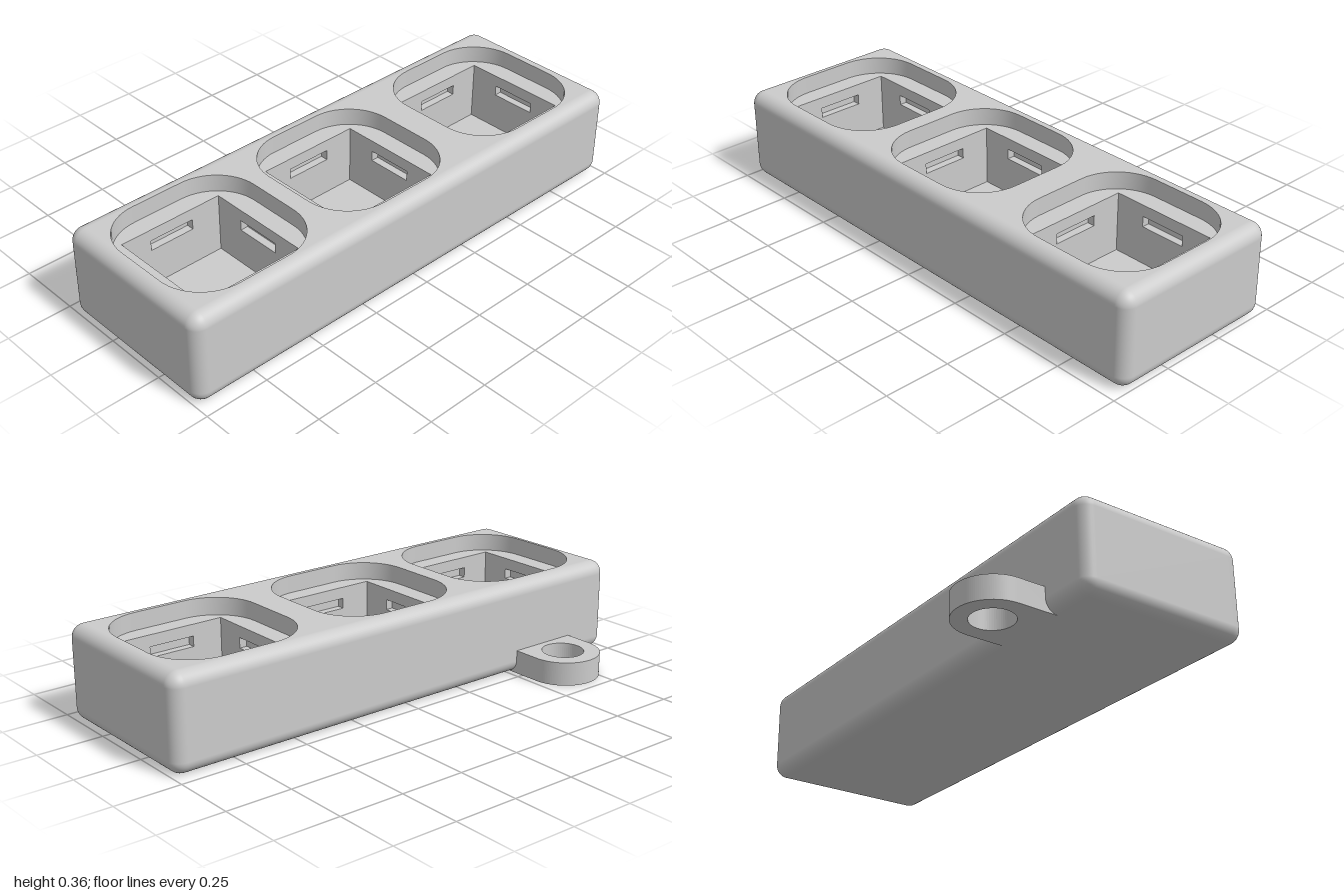
import * as THREE from 'three';
import { RoundedBoxGeometry } from 'three/addons/geometries/RoundedBoxGeometry.js';

const H = 0.357, DEPTH = 0.678, ZC = 0.122, FILLET = 0.05;
const RECESS_Y = 0.29, FLOOR_Y = 0.06, HOLE = 0.417;
const POCKETS = [-0.663, -0.027, 0.657];

const material = new THREE.MeshStandardMaterial({ color: 0xcccccc });

function addMesh(parent, name, geometry) {
  const mesh = new THREE.Mesh(geometry, material);
  mesh.name = name;
  parent.add(mesh);
  return mesh;
}

// Counter-clockwise loop of a rectangle with optional round corners
function rectLoop(w, h, r = 0, cx = 0, cy = 0) {
  const pts = [], steps = r ? 14 : 0;
  [[1, 1], [-1, 1], [-1, -1], [1, -1]].forEach(([sx, sy], k) => {
    for (let i = 0; i <= steps; i++) {
      const a = (k + (steps ? i / steps : 0)) * Math.PI / 2;
      pts.push(new THREE.Vector2(
        cx + sx * (w / 2 - r) + r * Math.cos(a),
        cy + sy * (h / 2 - r) + r * Math.sin(a)));
    }
  });
  return pts;
}

// Flat face in the XY plane, facing +z, with holes
function face(loop, holes = []) {
  const shape = new THREE.Shape(loop);
  shape.holes = holes.map((h) => new THREE.Path(h));
  return new THREE.ShapeGeometry(shape);
}

// Inward-facing wall that sinks from z = 0 to z = -depth around a loop
function sunkWall(loop, depth, smooth) {
  const n = loop.length, pos = [], index = [];
  loop.forEach((p, i) => {
    pos.push(p.x, p.y, 0, p.x, p.y, -depth);
    const a = 2 * i, b = 2 * ((i + 1) % n);
    index.push(a, b, b + 1, a, b + 1, a + 1);
  });
  let g = new THREE.BufferGeometry();
  g.setAttribute('position', new THREE.Float32BufferAttribute(pos, 3));
  g.setIndex(index);
  if (!smooth) g = g.toNonIndexed();
  g.computeVertexNormals();
  return g;
}

// Lay an XY face on the ground plane so that it faces up
const layFlat = (g, y) => g.rotateX(-Math.PI / 2).translate(0, y, 0);

// Rounded box without its flat top
function openBox() {
  const src = new RoundedBoxGeometry(2, H, DEPTH, 6, FILLET);
  const p = src.attributes.position, nrm = src.attributes.normal;
  const pos = [], normals = [];
  for (let t = 0; t < p.count; t += 3) {
    const ids = [t, t + 1, t + 2];
    if (ids.every((i) => p.getY(i) > H / 2 - 1e-4)) continue;
    for (const i of ids) {
      pos.push(p.getX(i), p.getY(i), p.getZ(i));
      normals.push(nrm.getX(i), nrm.getY(i), nrm.getZ(i));
    }
  }
  const g = new THREE.BufferGeometry();
  g.setAttribute('position', new THREE.Float32BufferAttribute(pos, 3));
  g.setAttribute('normal', new THREE.Float32BufferAttribute(normals, 3));
  return g.translate(0, H / 2, 0);
}

// Round recess, square socket below it, and a clip slot in each socket wall
function createPocket() {
  const pocket = new THREE.Group();
  pocket.name = 'pocket';
  const rim = rectLoop(0.566, 0.562, 0.18);
  const square = rectLoop(HOLE, HOLE);
  addMesh(pocket, 'recessWall', layFlat(sunkWall(rim, H - RECESS_Y, true), H));
  addMesh(pocket, 'recessLedge', layFlat(face(rim, [square]), RECESS_Y));
  addMesh(pocket, 'socketFloor', layFlat(face(square), FLOOR_Y));

  const wallH = RECESS_Y - FLOOR_Y, slotDepth = 0.03;
  const wall = rectLoop(HOLE, wallH, 0, 0, FLOOR_Y + wallH / 2);
  const slot = rectLoop(0.18, 0.04, 0, 0, 0.225);
  for (let k = 0; k < 4; k++) {
    const side = new THREE.Group();
    side.name = 'socketSide';
    side.rotation.y = k * Math.PI / 2;
    const parts = [
      addMesh(side, 'socketWall', face(wall, [slot])),
      addMesh(side, 'slotSides', sunkWall(slot, slotDepth, false)),
      addMesh(side, 'slotBack', face(slot).translate(0, 0, -slotDepth)),
    ];
    parts.forEach((m) => { m.position.z = -HOLE / 2; });
    pocket.add(side);
  }
  return pocket;
}

// Ring tab at the foot of the back
function createLug() {
  const r = 0.139, cy = 0.323, inner = 0.17;
  const shape = new THREE.Shape();
  shape.moveTo(-r, inner);
  shape.lineTo(r, inner);
  shape.lineTo(r, cy);
  shape.absarc(0, cy, r, 0, Math.PI, false);
  shape.closePath();
  const hole = new THREE.Path();
  hole.absarc(0, cy, 0.079, 0, Math.PI * 2, true);
  shape.holes.push(hole);
  return new THREE.ExtrudeGeometry(shape, { depth: 0.09, bevelEnabled: false, curveSegments: 32 })
    .rotateX(-Math.PI / 2);
}

export function createModel() {
  const model = new THREE.Group();
  model.name = 'threeSocketHolder';

  const body = new THREE.Group();
  body.name = 'body';
  body.position.z = ZC;
  model.add(body);
  addMesh(body, 'outerShell', openBox());

  // Top plate with an opening for each pocket
  const top = rectLoop(2 - 2 * FILLET, DEPTH - 2 * FILLET);
  const openings = POCKETS.map((x) => rectLoop(0.566, 0.562, 0.18, x));
  addMesh(body, 'topPlate', layFlat(face(top, openings), H));

  for (const x of POCKETS) {
    const pocket = createPocket();
    pocket.position.x = x;
    body.add(pocket);
  }

  addMesh(model, 'keyringLug', createLug()).position.x = -0.662;
  return model;
}
